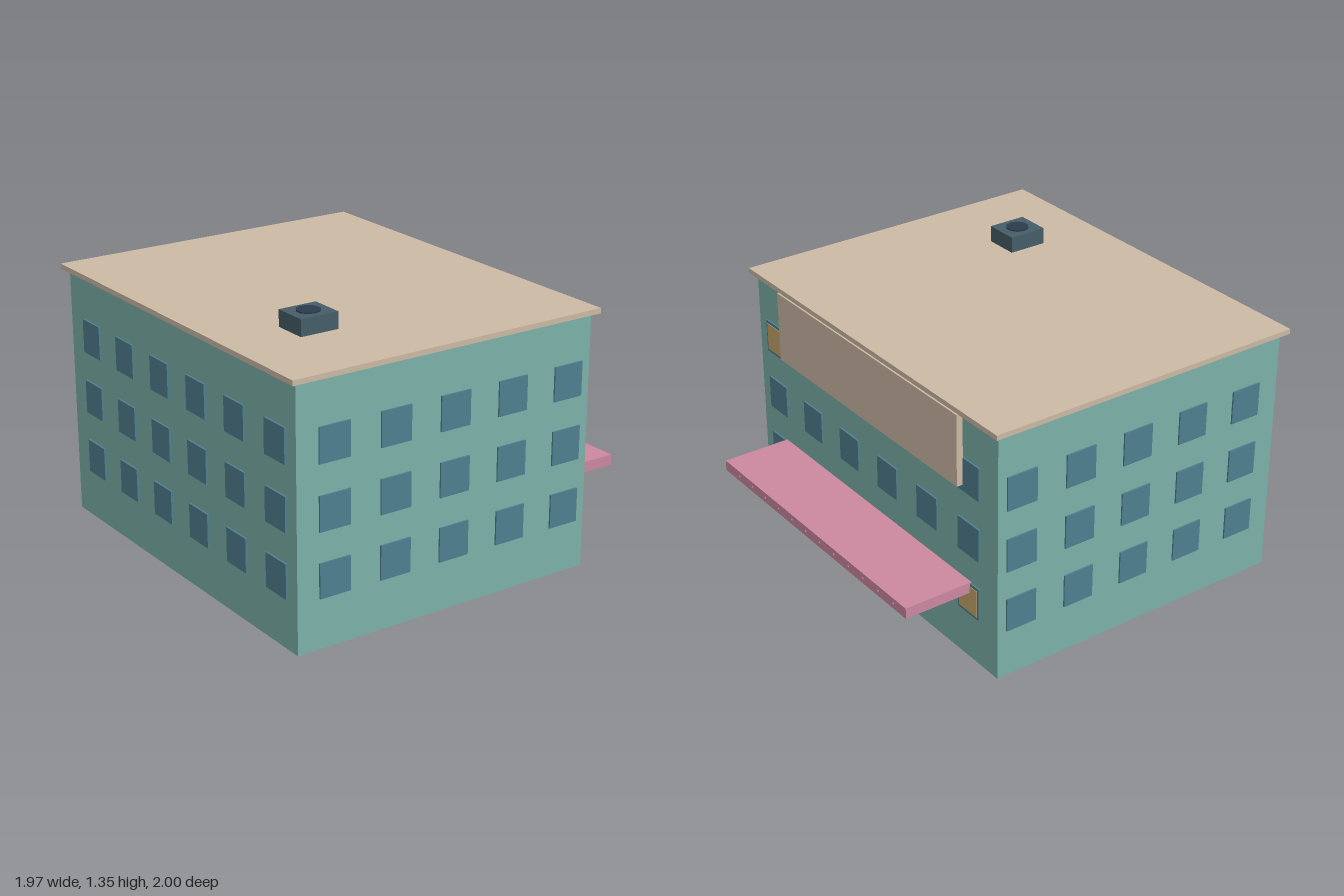
import * as THREE from 'three';

const mat = (color) => new THREE.MeshStandardMaterial({ color, flatShading: true });
const teal = mat(0x7cb0a9), tan = mat(0xcbb9a4), blue = mat(0x4f7f8f), pink = mat(0xcb879f);
const gold = mat(0xc5a468), dark = mat(0x2b3a4a), slate = mat(0x455d68);

// Box given by its lower and upper limits on each axis
function box(parent, name, material, [x0, x1], [y0, y1], [z0, z1]) {
  const mesh = new THREE.Mesh(new THREE.BoxGeometry(x1 - x0, y1 - y0, z1 - z0), material);
  mesh.position.set((x0 + x1) / 2, (y0 + y1) / 2, (z0 + z1) / 2);
  mesh.name = name;
  parent.add(mesh);
  return mesh;
}

const around = (c, size) => [c - size / 2, c + size / 2];

export function createModel() {
  const model = new THREE.Group();
  model.name = 'building';

  // Main block and overhanging roof slab
  box(model, 'walls', teal, [-0.953, 0.63], [0, 1.237], [-0.97, 0.97]);
  box(model, 'roof', tan, [-0.985, 0.66], [1.235, 1.26], [-1, 1]);

  // Three floors of windows on all four sides
  const windows = new THREE.Group();
  windows.name = 'windows';
  model.add(windows);
  const floors = [0.321, 0.629, 0.937];
  for (const y of floors) {
    const rows = around(y, 0.165);
    for (let i = 0; i < 5; i++) {
      const cols = around(-0.763 + i * 0.317, 0.158);
      box(windows, 'frontWindow', blue, cols, rows, [0.96, 0.978]);
      box(windows, 'backWindow', blue, cols, rows, [-0.978, -0.96]);
    }
    for (let i = 0; i < 6; i++) {
      const cols = around(-0.765 + i * 0.317, 0.156);
      box(windows, 'leftWindow', blue, [0.62, 0.639], rows, cols);
      box(windows, 'rightWindow', blue, [-0.963, -0.94], rows, cols);
    }
  }

  // Two lit panes on the entrance side
  for (const [y, z] of [[floors[2], 0.82], [floors[0], -0.765]]) {
    box(windows, 'litPane', gold, [0.63, 0.642], around(y, 0.137), around(z, 0.132));
  }

  // Entrance: door, canopy and the blank panel above
  box(model, 'door', dark, [0.62, 0.637], [0.002, 0.25], [-0.07, 0.07]);
  box(model, 'canopy', pink, [0.63, 0.978], [0.355, 0.408], [-0.777, 0.773]);
  box(model, 'panel', tan, [0.637, 0.669], [0.885, 1.236], [-0.727, 0.727]);

  // Row of small lamps along the canopy edge
  const lampGeometry = new THREE.SphereGeometry(0.006, 8, 6);
  for (let i = 0; i < 12; i++) {
    const lamp = new THREE.Mesh(lampGeometry, pink);
    lamp.name = 'canopyLamp';
    lamp.position.set(0.977, 0.382, -0.68 + i * 0.12);
    model.add(lamp);
  }

  // Rooftop ventilation unit with its round fan
  box(model, 'ventUnit', slate, [-0.657, -0.463], [1.258, 1.34], [0.398, 0.57]);
  const fan = new THREE.Mesh(new THREE.CylinderGeometry(0.056, 0.056, 0.012, 10), dark);
  fan.name = 'ventFan';
  fan.position.set(-0.56, 1.34, 0.483);
  model.add(fan);

  return model;
}
